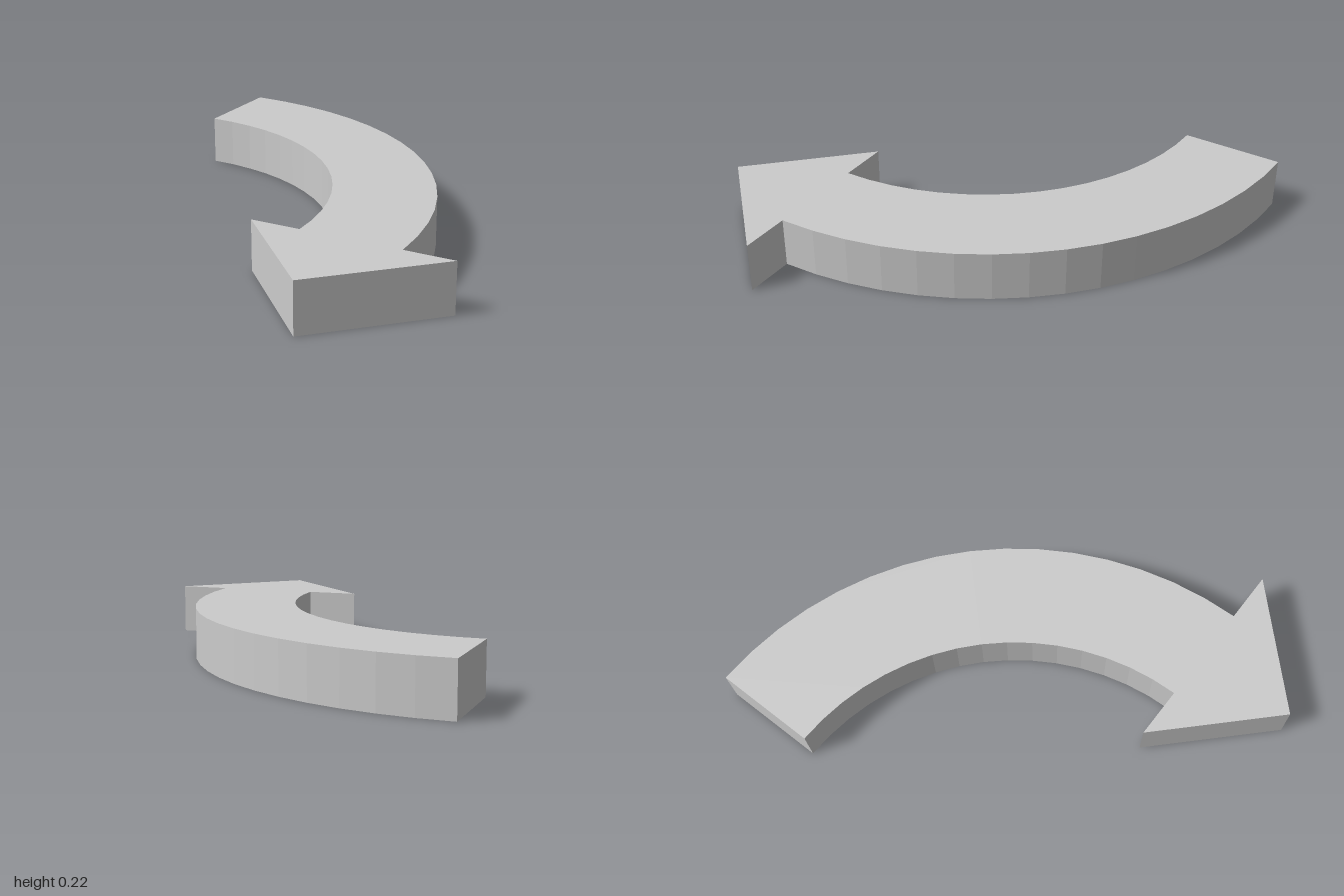
import * as THREE from 'three';

export function createModel() {
  const group = new THREE.Group();
  group.name = 'curvedArrow';

  const height = 0.222;
  const cx = -0.889, cz = 0.556;        // centre of the quarter bend
  const outer = 1.556, inner = 1.111;

  // Plan outline: shape x is x, shape y is z
  const outline = new THREE.Shape();
  outline.moveTo(cx, cz - outer);
  outline.absarc(cx, cz, outer, -Math.PI / 2, 0, false);
  // Arrow head
  outline.lineTo(0.889, cz);
  outline.lineTo(0.444, 1);
  outline.lineTo(0, cz);
  outline.lineTo(cx + inner, cz);
  // Inner edge of the bend, back to the tail
  outline.absarc(cx, cz, inner, 0, -Math.PI / 2, true);
  outline.closePath();

  // Arcs get twice curveSegments: 16 facets per edge
  const geometry = new THREE.ExtrudeGeometry(outline, {
    depth: height, bevelEnabled: false, curveSegments: 8,
  });
  geometry.rotateX(Math.PI / 2);
  geometry.translate(0, height, 0);

  const material = new THREE.MeshStandardMaterial({ color: 0xcccccc, flatShading: true });
  const arrow = new THREE.Mesh(geometry, material);
  arrow.name = 'arrow';
  group.add(arrow);
  return group;
}
